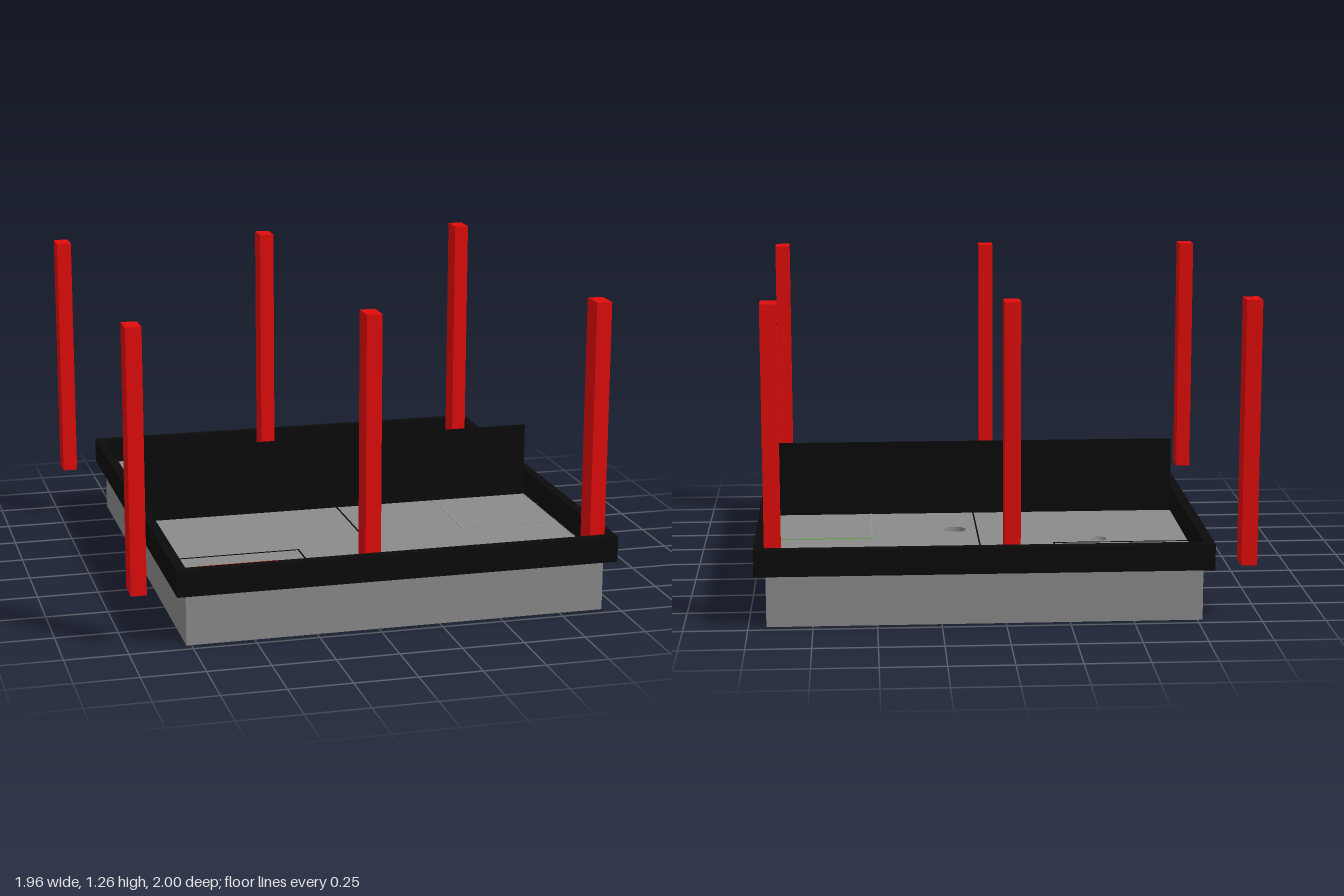
import * as THREE from 'three';

const FLOOR = 0.21, RIM_TOP = 0.315;
const material = (color) => new THREE.MeshStandardMaterial({ color });

export function createModel() {
  const model = new THREE.Group();
  const grey = material(0x8a8a8a), black = material(0x0a0a0a), red = material(0xe00c0c);
  const orange = material(0xd8471c), green = material(0x5fae3a), paleGrey = material(0x929292);
  grey.side = black.side = THREE.DoubleSide;

  const add = (name, geometry, mat, parent = model) => {
    const mesh = new THREE.Mesh(geometry, mat);
    mesh.name = name;
    parent.add(mesh);
    return mesh;
  };

  // Box given by its limits on each axis
  const block = (name, x0, x1, y0, y1, z0, z1, mat, parent) => {
    const mesh = add(name, new THREE.BoxGeometry(x1 - x0, y1 - y0, z1 - z0), mat, parent);
    mesh.position.set((x0 + x1) / 2, (y0 + y1) / 2, (z0 + z1) / 2);
    return mesh;
  };

  // Rectangle on the ground plan (shape y is -z)
  const rectangle = (Type, x0, x1, z) => new Type([[x0, -z], [x1, -z], [x1, z], [x0, z]]
    .map(([x, y]) => new THREE.Vector2(x, y)));

  // Extrude a ground plan upwards
  const slab = (name, shape, y0, y1, mat) => {
    const geometry = new THREE.ExtrudeGeometry(shape, { depth: y1 - y0, bevelEnabled: false, curveSegments: 32 });
    geometry.rotateX(-Math.PI / 2);
    geometry.translate(0, y0, 0);
    return add(name, geometry, mat);
  };

  // Base: solid lower plate and a floor slab with round openings
  const pits = [
    { name: 'bowlPit', x: 0.435, z: -0.84, r: 0.03, bowl: true },
    { name: 'bowlPit', x: -0.41, z: -0.48, r: 0.034, bowl: true },
    { name: 'roundRecess', x: 0.17, z: -0.29, r: 0.045, bowl: false },
  ];
  block('basePlate', -0.77, 0.93, 0, 0.12, -0.96, 0.96, grey);
  const floor = rectangle(THREE.Shape, -0.77, 0.93, 0.96);
  for (const { x, z, r } of pits) {
    floor.holes.push(new THREE.Path().absarc(x, -z, r, 0, Math.PI * 2, true));
  }
  slab('floor', floor, 0.12, FLOOR, grey);

  // Linings of the pits: rounded bowls and one flat-bottomed recess
  for (const { name, x, z, r, bowl } of pits) {
    const profile = [];
    if (bowl) {
      for (let i = 0; i <= 8; i++) {
        const a = (i / 8) * Math.PI / 2;
        profile.push(new THREE.Vector2(r * Math.sin(a), -r * Math.cos(a)));
      }
    } else {
      profile.push(new THREE.Vector2(0, -0.02), new THREE.Vector2(r, -0.02));
    }
    add(name, new THREE.LatheGeometry(profile, 32), grey).position.set(x, FLOOR, z);
  }

  // Raised border frame
  const rim = rectangle(THREE.Shape, -0.81, 0.975, 1);
  rim.holes.push(rectangle(THREE.Path, -0.77, 0.935, 0.96));
  slab('rim', rim, FLOOR, RIM_TOP, black);

  // Paper-thin divider across the middle
  const divider = add('divider', new THREE.PlaneGeometry(1.7, 0.315), black);
  divider.position.set(0.08, FLOOR + 0.1575, 0);

  // Six posts in three pairs
  for (const x of [-0.95, -0.025, 0.903]) {
    for (const z of [-0.905, 0.905]) {
      block('post', x - 0.031, x + 0.031, 0.215, 1.26, z - 0.052, z + 0.052, red);
    }
  }

  // Floor markings: thin raised strips
  const markings = new THREE.Group();
  markings.name = 'floorMarkings';
  model.add(markings);
  const w = 0.003;
  const strip = (name, x0, x1, z0, z1, mat) =>
    block(name, x0 - w, x1 + w, FLOOR, FLOOR + 0.002, z0 - w, z1 + w, mat, markings);

  strip('centreLine', 0.08, 0.08, -0.957, 0.957, black);
  for (const s of [-1, 1]) {
    // Corner zone with a coloured outline inside
    strip('zoneLine', -0.767, -0.222, s * 0.537, s * 0.537, black);
    const [n, f] = [0.537, 0.957].map((v) => v * s).sort((a, b) => a - b);
    strip('zoneLine', -0.222, -0.222, n, f, black);
    const [z0, z1] = [0.652, 0.845].map((v) => v * s).sort((a, b) => a - b);
    for (const z of [z0, z1]) strip('targetLine', -0.66, -0.34, z, z, orange);
    for (const x of [-0.66, -0.34]) strip('targetLine', x, x, z0, z1, orange);
  }
  // Side zone: one green edge and two faint ones
  strip('sideZoneLine', 0.515, 0.927, -0.42, -0.42, green);
  strip('sideZoneLine', 0.515, 0.515, -0.413, 0.413, paleGrey);
  strip('sideZoneLine', 0.515, 0.927, 0.42, 0.42, paleGrey);

  return model;
}
